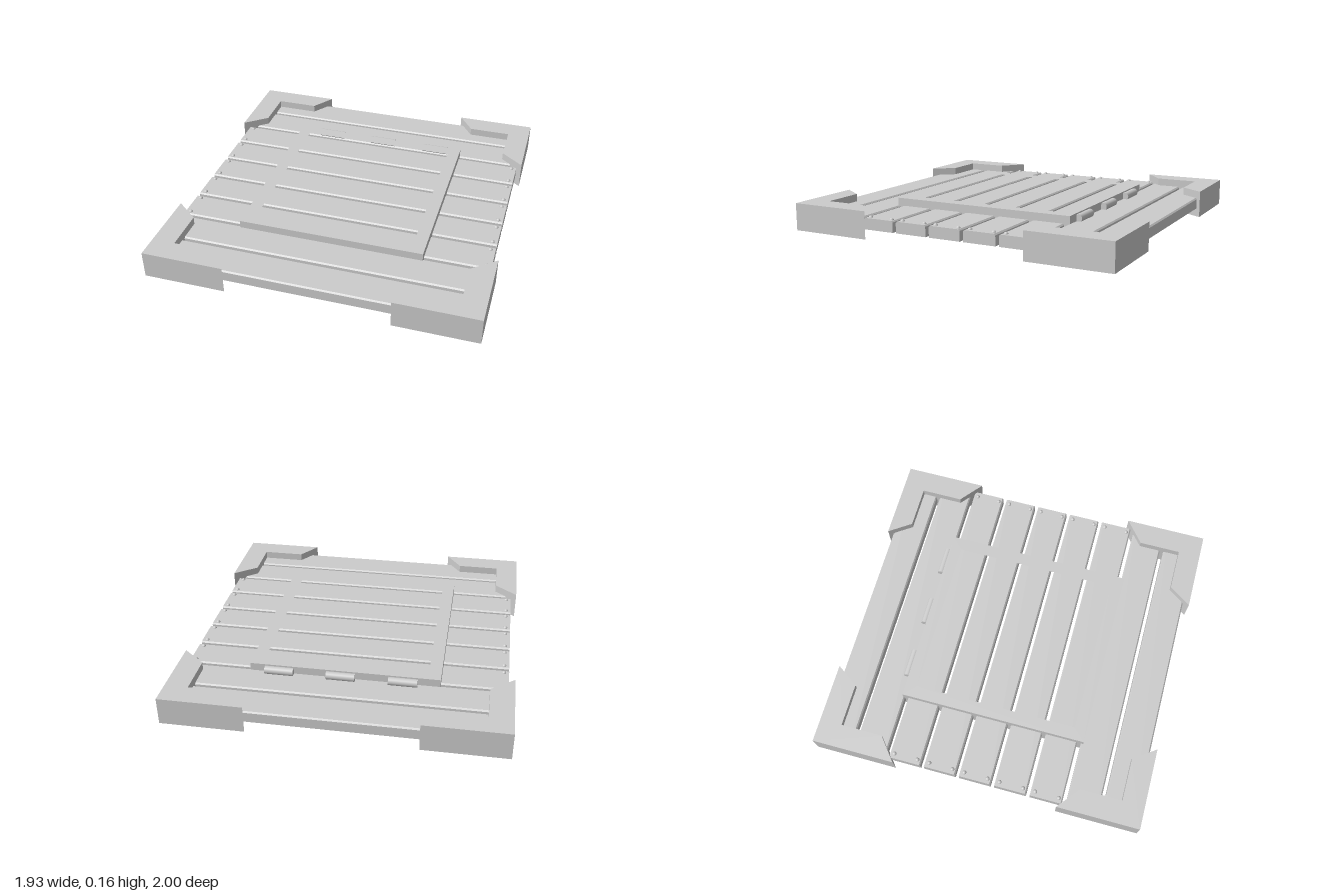
import * as THREE from 'three';

const material = new THREE.MeshStandardMaterial({ color: 0xcccccc, flatShading: true });
const smooth = new THREE.MeshStandardMaterial({ color: 0xcccccc });

function add(parent, name, geometry, mat = material) {
  const mesh = new THREE.Mesh(geometry, mat);
  mesh.name = name;
  parent.add(mesh);
  return mesh;
}

// Extrude a plan outline of [x, z] points from y0 up to y1
function slab(points, y0, y1, hole) {
  const toVectors = (list) => list.map(([x, z]) => new THREE.Vector2(x, -z));
  const shape = new THREE.Shape(toVectors(points));
  if (hole) shape.holes.push(new THREE.Path(toVectors(hole)));
  return new THREE.ExtrudeGeometry(shape, { depth: y1 - y0, bevelEnabled: false })
    .rotateX(-Math.PI / 2).translate(0, y0, 0);
}

const rect = (x, z0, z1) => [[-x, z0], [x, z0], [x, z1], [-x, z1]];

export function createModel() {
  const group = new THREE.Group();
  const top = 0.117, bottom = 0.05, height = 0.163;

  // Planks with slightly chamfered top edges, running along x
  const half = 0.098, c = 0.008, length = 1.87;
  const section = new THREE.Shape([
    [-half, bottom], [half, bottom], [half, top - c],
    [half - c, top], [c - half, top], [-half, top - c],
  ].map(([x, y]) => new THREE.Vector2(x, y)));
  const plankGeometry = new THREE.ExtrudeGeometry(section, { depth: length, bevelEnabled: false })
    .translate(0, 0, -length / 2).rotateY(Math.PI / 2);
  const nailGeometry = new THREE.SphereGeometry(0.013, 12, 8);
  for (let i = -4; i <= 4; i++) {
    const z = i * 0.218 - 0.005;
    add(group, 'plank', plankGeometry).position.z = z;

    // Two nails at each end of the exposed middle planks
    if (Math.abs(i) > 2) continue;
    for (const sx of [-1, 1]) {
      for (const sz of [-1, 1]) {
        add(group, 'nail', nailGeometry, smooth).position.set(sx * 0.905, top - 0.002, z + sz * 0.072);
      }
    }
  }

  // Corner brackets, mirrored into all four corners
  const bracket = [[0.967, 1], [0.48, 1], [0.573, 0.865], [0.83, 0.865], [0.83, 0.612], [0.967, 0.5]];
  for (const sx of [-1, 1]) {
    for (const sz of [-1, 1]) {
      add(group, 'cornerBracket', slab(bracket.map(([x, z]) => [x * sx, z * sz]), 0, height));
    }
  }

  // Raised hatch frame, standing proud above and below the planks
  add(group, 'hatchFrame', slab(rect(0.553, -0.572, 0.566), 0, height, rect(0.479, -0.5, 0.492)));

  // Hinge barrels along the back of the frame
  const hinge = new THREE.CylinderGeometry(0.024, 0.024, 0.168, 16).rotateZ(Math.PI / 2);
  for (const x of [-0.34, 0.02, 0.38]) {
    add(group, 'hinge', hinge, smooth).position.set(x, 0.134, -0.583);
  }

  return group;
}
